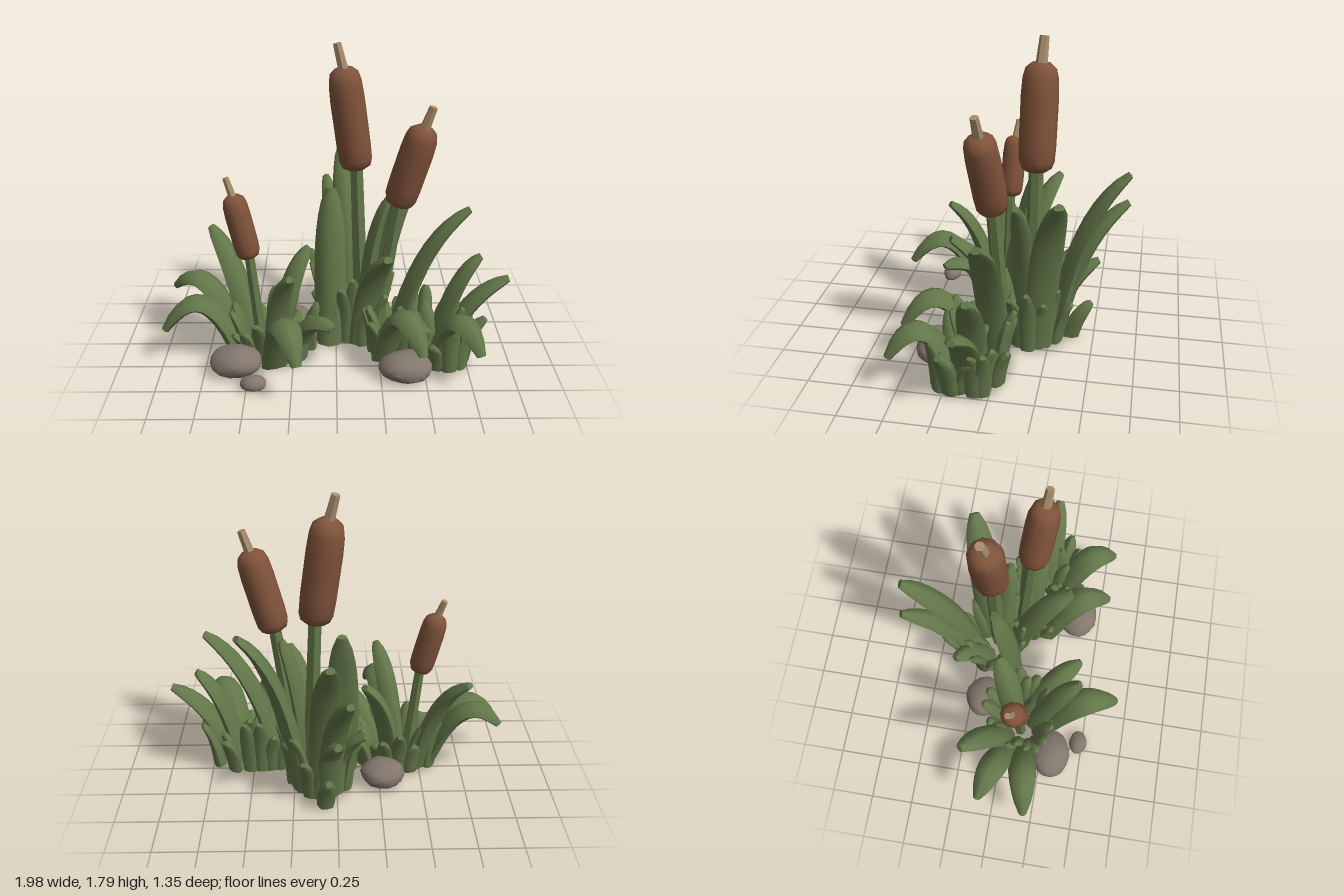
import * as THREE from 'three';
import { toCreasedNormals } from 'three/addons/utils/BufferGeometryUtils.js';

const mat = (name, color) => Object.assign(new THREE.MeshStandardMaterial({ color }), { name });
const V = (a) => new THREE.Vector3(...a);
const UP = new THREE.Vector3(0, 1, 0);

export function createModel() {
  const root = new THREE.Group();
  root.name = 'cattailClump';
  const leafGreen = mat('leafGreen', 0x64784a);
  const headBrown = mat('headBrown', 0x80533a);
  const spikeTan = mat('spikeTan', 0xa88d6b);
  const stoneGrey = mat('stoneGrey', 0x83776d);

  let seed = 11;
  const rand = () => (seed = (seed * 16807) % 2147483647) / 2147483647;

  function add(name, geometry, material, parent = root) {
    const mesh = new THREE.Mesh(geometry, material);
    mesh.name = name;
    parent.add(mesh);
    return mesh;
  }

  // Flat patch facing down under a clump or stone
  function underside(x, z, rx, rz) {
    const m = add('underside', new THREE.CircleGeometry(1, 20), stoneGrey);
    m.rotation.x = Math.PI / 2;
    m.scale.set(rx, rz, 1);
    m.position.set(x, 0, z);
  }

  // Thick, cupped blade swept along an arc; k and h place the arc's control point
  function leaf(name, base, tip, k, h, width, thick = 0.085) {
    const b = V(base).setY(-0.02), t = V(tip);
    const curve = new THREE.QuadraticBezierCurve3(b, b.clone().lerp(t, k).setY(h), t);
    const out = t.clone().sub(b).setY(0).normalize();
    const side = new THREE.Vector3(out.z, 0, -out.x);
    const rows = 10, ring = 8, pos = [], idx = [];
    for (let i = 0; i <= rows; i++) {
      const u = i / rows;
      const p = curve.getPoint(u);
      const n = curve.getTangent(u).cross(side).normalize();
      const taper = Math.sqrt(1 - Math.pow(u, 4) * 0.88);
      const w = width * (0.88 + 0.12 * Math.sin(u * Math.PI)) * taper / 2;
      const d = thick * (1.3 - 0.5 * u) * Math.sqrt(taper) / 2;
      for (let j = 0; j < ring; j++) {
        const a = (j / ring) * Math.PI * 2, c = Math.cos(a);
        const q = p.clone().addScaledVector(side, c * w)
          .addScaledVector(n, Math.sin(a) * d - c * c * w * 0.25);
        pos.push(q.x, Math.max(0.002, q.y), q.z);
      }
    }
    for (let i = 0; i < rows; i++) for (let j = 0; j < ring; j++) {
      const a = i * ring + j, e = i * ring + (j + 1) % ring;
      idx.push(a, e, e + ring, a, e + ring, a + ring);
    }
    const last = rows * ring;
    for (let j = 1; j < ring - 1; j++) idx.push(last, last + j, last + j + 1);
    const g = new THREE.BufferGeometry();
    g.setAttribute('position', new THREE.Float32BufferAttribute(pos, 3));
    g.setIndex(idx);
    add(name, toCreasedNormals(g, 0.9), leafGreen);
  }

  // Leaves fanning out from a centre; low tips arch over and droop, high ones rise
  function fan(cx, cz, tips) {
    for (const [x, y, z, width] of tips) {
      const base = [cx + (x - cx) * 0.25, 0, cz + (z - cz) * 0.25];
      if (y < 0.4) leaf('droopingLeaf', base, [x, y, z], 0.45, 0.28 + 0.6 * Math.hypot(x - cx, z - cz), width);
      else leaf('risingLeaf', base, [x, y, z], 0.25, y * 0.78, width);
    }
  }

  // Short blades filling the foot of a clump
  function tuft(cx, cz, rx, rz, count, height) {
    for (let i = 0; i < count; i++) {
      const a = (i / count) * Math.PI * 2, s = 0.65 + rand() * 0.35;
      const x = cx + Math.cos(a) * rx * s, z = cz + Math.sin(a) * rz * s;
      const lean = 0.05 + rand() * 0.06, h = height * (0.55 + rand() * 0.5);
      leaf('shortBlade', [x, 0, z], [x + Math.cos(a) * lean, h, z + Math.sin(a) * lean], 0.2, h * 0.7, 0.1, 0.06);
    }
    underside(cx, cz, rx + 0.03, rz + 0.03);
  }

  // Straight tapered rod between two points
  function rod(name, a, b, r0, r1, material, parent) {
    const d = b.clone().sub(a);
    const m = add(name, toCreasedNormals(new THREE.CylinderGeometry(r1, r0, d.length(), 6), 0.6), material, parent);
    m.position.copy(a).addScaledVector(d, 0.5);
    m.quaternion.setFromUnitVectors(UP, d.normalize());
  }

  // Cattail: stem, rounded seed head and spike
  function cattail(name, base, low, high, tip, r) {
    const g = new THREE.Group();
    g.name = name;
    root.add(g);
    const a = V(low), b = V(high), d = b.clone().sub(a), len = d.length();
    rod('stem', V(base), a.clone().addScaledVector(d, 0.03), r * 0.5, r * 0.4, leafGreen, g);
    rod('spike', b.clone().addScaledVector(d, -0.03), V(tip), r * 0.32, r * 0.25, spikeTan, g);
    const profile = [[0, 0], [0.55, 0], [0.82, 0.03], [0.96, 0.1], [1, 0.25], [1, 0.7],
      [0.95, 0.86], [0.82, 0.95], [0.5, 1], [0, 1]];
    const lathe = new THREE.LatheGeometry(profile.map(([x, y]) => new THREE.Vector2(x * r, y * len)), 10);
    const head = add('seedHead', toCreasedNormals(lathe, 0.9), headBrown, g);
    head.position.copy(a);
    head.quaternion.setFromUnitVectors(UP, d.normalize());
  }

  // Stone: lumpy ball with a flattened bottom
  function stone(x, y, z, rx, ry, rz) {
    const g = new THREE.IcosahedronGeometry(1, 2);
    const p = g.attributes.position;
    for (let i = 0; i < p.count; i++) {
      const v = new THREE.Vector3().fromBufferAttribute(p, i);
      v.multiplyScalar(1 + 0.05 * Math.sin(v.x * 4 + x * 9) * Math.cos(v.z * 3 + v.y * 3 + z * 7));
      p.setXYZ(i, x + v.x * rx, Math.max(0.002, y + v.y * ry), z + v.z * rz);
    }
    add('stone', toCreasedNormals(g, 0.6), stoneGrey);
    underside(x, z, rx * 0.75, rz * 0.75);
  }

  cattail('tallCattail', [0.16, 0, -0.14], [0.12, 1.06, -0.155], [0.04, 1.64, -0.165], [0.005, 1.775, -0.175], 0.102);
  cattail('leftCattail', [0.22, 0, 0], [0.345, 0.915, 0.04], [0.475, 1.375, 0.085], [0.515, 1.49, 0.095], 0.094);
  cattail('rightCattail', [-0.43, 0, 0.1], [-0.49, 0.615, 0.09], [-0.575, 0.98, 0.07], [-0.61, 1.08, 0.055], 0.072);

  // Right clump
  fan(-0.41, 0.1, [
    [-0.98, 0.21, 0.2, 0.17], [-0.95, 0.35, -0.08, 0.17], [-0.74, 0.68, -0.2, 0.16],
    [-0.16, 0.6, -0.08, 0.16], [-0.25, 0.64, 0.42, 0.14], [-0.21, 0.25, 0.66, 0.18],
  ]);
  leaf('lowFrontLeaf', [-0.27, 0, 0.14], [-0.02, 0.33, 0.41], 0.4, 0.38, 0.15);
  tuft(-0.37, 0.1, 0.23, 0.15, 20, 0.33);

  // Centre clump
  fan(0.1, -0.14, [
    [-0.06, 0.83, -0.66, 0.15], [0.04, 1.04, -0.66, 0.17], [0.53, 1.05, -0.33, 0.19],
    [0.31, 0.91, -0.08, 0.14], [0.28, 0.69, 0.29, 0.18], [0, 0.48, -0.51, 0.14],
    [-0.16, 0.45, -0.35, 0.14],
  ]);
  leaf('uprightLeaf', [-0.04, 0, 0], [-0.03, 0.95, -0.12], 0.15, 0.6, 0.19);
  leaf('lowBackLeaf', [0.07, 0, -0.36], [0.05, 0.22, -0.48], 0.3, 0.15, 0.11);
  tuft(0.1, -0.14, 0.16, 0.18, 16, 0.45);

  // Left clump, inner and outer fans
  fan(0.2, 0.03, [[0.75, 0.89, 0.05, 0.17], [0.47, 0.23, 0.53, 0.18]]);
  fan(0.5, 0.1, [[0.82, 0.62, 0.09, 0.16], [0.98, 0.5, 0.13, 0.16], [0.78, 0.23, 0.53, 0.18]]);
  leaf('lowSideLeaf', [0.71, 0, 0.2], [0.84, 0.3, 0.24], 0.25, 0.2, 0.11);
  tuft(0.45, 0.08, 0.28, 0.13, 20, 0.36);
  tuft(0.62, 0.21, 0.12, 0.1, 9, 0.33);

  stone(-0.57, 0.07, 0.31, 0.145, 0.09, 0.12);
  stone(-0.46, 0.03, 0.475, 0.072, 0.045, 0.055);
  stone(0.39, 0.06, 0.36, 0.155, 0.085, 0.12);
  stone(-0.27, 0.07, -0.165, 0.13, 0.085, 0.115);
  return root;
}
